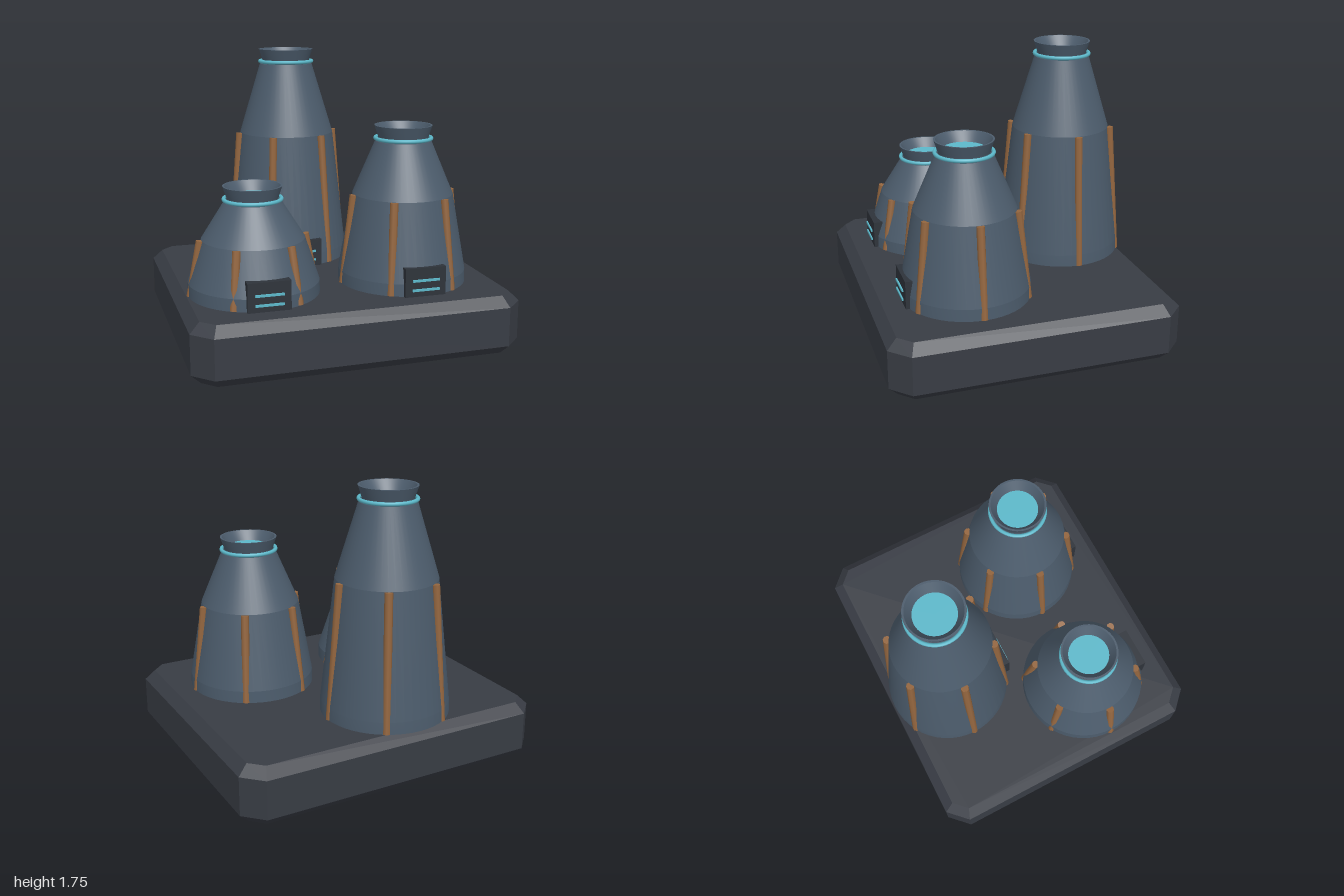
import * as THREE from 'three';
import { toCreasedNormals } from 'three/addons/utils/BufferGeometryUtils.js';

const material = (name, color) => {
  const m = new THREE.MeshStandardMaterial({ color });
  m.name = name;
  return m;
};
const mats = {
  base: material('charcoal', 0x383c44),
  shell: material('slate blue', 0x4c5c6c),
  panel: material('dark panel', 0x2e333a),
  copper: material('copper', 0x94663f),
  glow: material('cyan', 0x5cb8ca),
};
const BASE_TOP = 0.36;

function add(parent, name, geometry, mat, x = 0, y = 0, z = 0) {
  const mesh = new THREE.Mesh(geometry, mat);
  mesh.name = name;
  mesh.position.set(x, y, z);
  parent.add(mesh);
  return mesh;
}

// Smooth turned part; points are [radius, height] from bottom to top
function turned(points) {
  const lathe = new THREE.LatheGeometry(points.map(([r, y]) => new THREE.Vector2(r, y)), 48);
  return toCreasedNormals(lathe, 0.15);
}

// Octagonal slab with bevelled top and bottom edges
function slab(hx, hz, corner, bevel) {
  const shape = new THREE.Shape([
    [hx, corner - hz], [hx, hz - corner], [hx - corner, hz], [corner - hx, hz],
    [-hx, hz - corner], [-hx, corner - hz], [corner - hx, -hz], [hx - corner, -hz],
  ].map(([x, y]) => new THREE.Vector2(x, y)));
  const g = new THREE.ExtrudeGeometry(shape, {
    depth: BASE_TOP - 2 * bevel, bevelSize: bevel, bevelThickness: bevel,
    bevelOffset: -bevel, bevelSegments: 1,
  });
  return g.translate(0, 0, bevel).rotateX(-Math.PI / 2);
}

// One tower: height is measured from the slab to the rim, shoulder to the rib tops
function tower(name, x, z, height, shoulder) {
  const g = new THREE.Group();
  g.name = name;
  g.position.set(x, BASE_TOP, z);

  add(g, 'towerShell', turned([
    [0.398, 0], [0.396, 0.075], [0.31, shoulder], [0.172, height - 0.095], [0.14, height - 0.095],
  ]), mats.shell);

  // Flared collar with a funnel inside
  add(g, 'collar', turned([
    [0.15, height - 0.1], [0.155, height - 0.07], [0.178, height], [0.166, height], [0.127, height - 0.06],
  ]), mats.shell);
  add(g, 'glowRing', new THREE.TorusGeometry(0.172, 0.012, 8, 48).rotateX(Math.PI / 2),
    mats.glow, 0, height - 0.08, 0);
  add(g, 'glowCore', new THREE.CircleGeometry(0.13, 48).rotateX(-Math.PI / 2),
    mats.glow, 0, height - 0.059, 0);

  // Six leaning copper ribs
  const lean = Math.atan2(0.065, shoulder);
  const length = Math.hypot(0.065, shoulder);
  for (let i = 0; i < 6; i++) {
    const rib = new THREE.CylinderGeometry(0.025, 0.025, length, 8)
      .rotateZ(lean).translate(0.3525, shoulder / 2, 0).rotateY(i * Math.PI / 3);
    add(g, 'rib', rib, mats.copper);
  }

  // Front panel with two lit slots
  add(g, 'frontPanel', new THREE.BoxGeometry(0.256, 0.175, 0.06), mats.panel, 0, 0.0875, 0.37);
  for (const y of [0.042, 0.1]) {
    add(g, 'panelLight', new THREE.BoxGeometry(0.17, 0.014, 0.009), mats.glow, 0, y, 0.408);
  }
  return g;
}

export function createModel() {
  const model = new THREE.Group();
  model.name = 'towerCluster';
  add(model, 'baseSlab', slab(1, 0.895, 0.115, 0.06), mats.base);
  model.add(
    tower('backTower', -0.11, -0.49, 1.39, 0.84),
    tower('leftTower', 0.42, 0.31, 0.97, 0.55),
    tower('rightTower', -0.53, 0.31, 0.65, 0.335),
  );
  return model;
}
